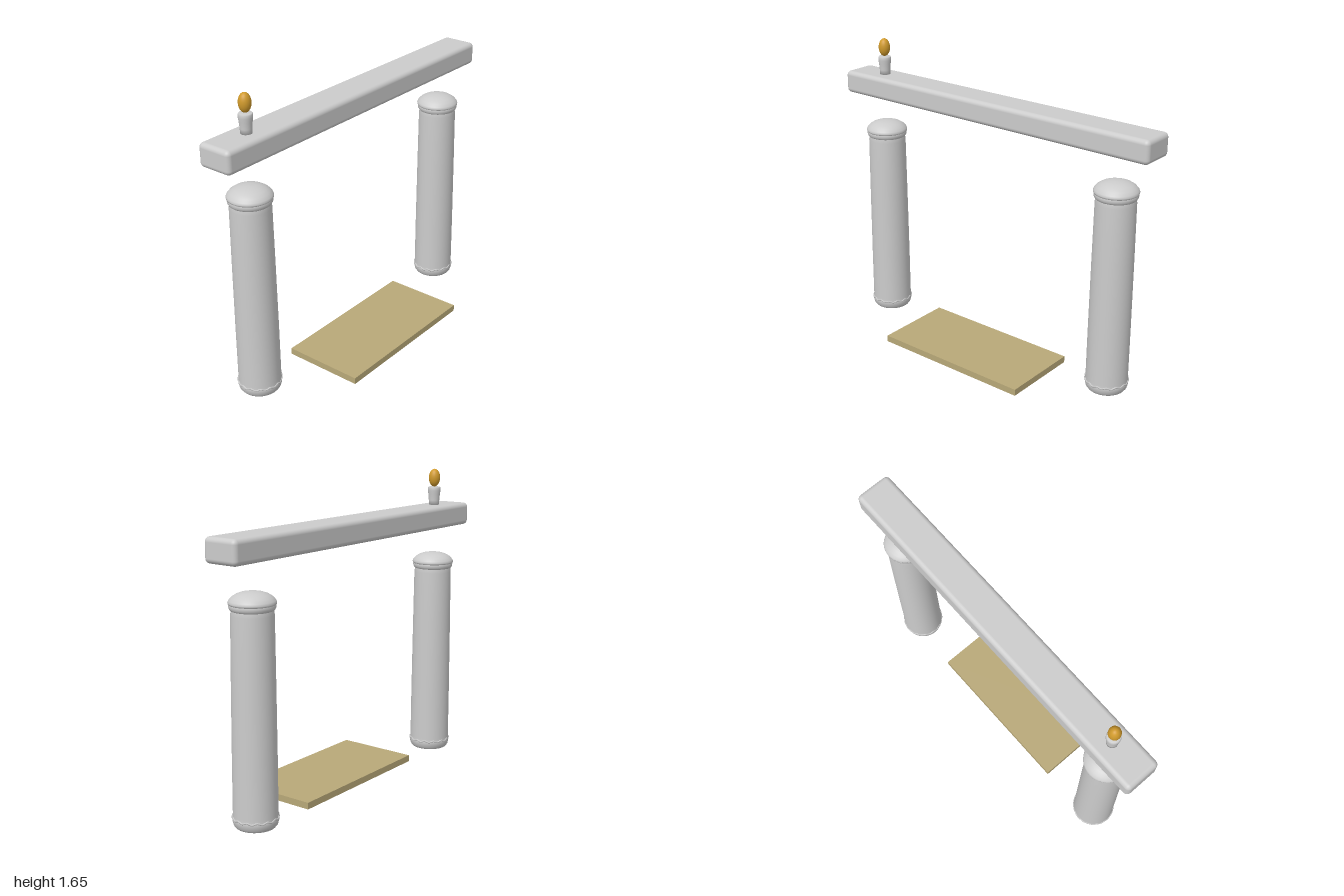
import * as THREE from 'three';
import { RoundedBoxGeometry } from 'three/addons/geometries/RoundedBoxGeometry.js';

const Z = -0.132; // depth line shared by columns, beam and candle
const COLUMN_X = 0.78;

const stone = new THREE.MeshStandardMaterial({ color: 0xcccccc });
const straw = new THREE.MeshStandardMaterial({ color: 0xb8a878 });
const gold = new THREE.MeshStandardMaterial({ color: 0xd09a2c });

function addMesh(parent, name, geometry, material, x = 0, y = 0, z = 0) {
  const mesh = new THREE.Mesh(geometry, material);
  mesh.name = name;
  mesh.position.set(x, y, z);
  parent.add(mesh);
  return mesh;
}

function lathe(points, segments = 40) {
  return new THREE.LatheGeometry(points.map(([r, y]) => new THREE.Vector2(r, y)), segments);
}

// Closed wavy cord that wraps a column foot
function wavyRing(radius, y, waves, amplitude) {
  const points = [];
  const count = waves * 4;
  for (let i = 0; i < count; i++) {
    const a = (i / count) * Math.PI * 2;
    points.push(new THREE.Vector3(
      Math.cos(a) * radius, y + Math.sin(a * waves) * amplitude, Math.sin(a) * radius));
  }
  return new THREE.TubeGeometry(new THREE.CatmullRomCurve3(points, true), count * 2, 0.005, 6, true);
}

function createColumn(name, x) {
  const column = new THREE.Group();
  column.name = name;
  column.position.set(x, 0, Z);

  // Rounded foot and tapering shaft
  addMesh(column, 'shaft', lathe([
    [0, 0], [0.085, 0.001], [0.1, 0.005], [0.11, 0.018], [0.115, 0.038],
    [0.115, 0.05], [0.112, 0.07], [0.111, 0.35], [0.108, 0.75], [0.105, 1.06], [0.101, 1.085],
  ]), stone);
  addMesh(column, 'footCord', wavyRing(0.113, 0.054, 14, 0.004), stone);

  // Flared collar under a shallow dome
  addMesh(column, 'collar', lathe([
    [0.097, 1.08], [0.106, 1.083], [0.112, 1.093], [0.113, 1.104], [0.111, 1.112],
  ]), stone);
  addMesh(column, 'domeCap', lathe([
    [0.109, 1.108], [0.115, 1.112], [0.1165, 1.119], [0.113, 1.129], [0.1, 1.144],
    [0.08, 1.157], [0.055, 1.166], [0.028, 1.171], [0, 1.172],
  ]), stone);
  return column;
}

function createCandle() {
  const candle = new THREE.Group();
  candle.name = 'candle';
  candle.position.set(-COLUMN_X, 1.44, Z);

  // Wax body with a slightly wider lip
  addMesh(candle, 'wax', lathe([
    [0, 0], [0.029, 0], [0.03, 0.03], [0.033, 0.065], [0.036, 0.085],
    [0.036, 0.1], [0.032, 0.106], [0, 0.107],
  ], 24), stone);

  // Egg-shaped flame
  const flame = addMesh(candle, 'flame', new THREE.SphereGeometry(1, 24, 16), gold, 0, 0.157, 0);
  flame.scale.set(0.032, 0.05, 0.032);
  return candle;
}

export function createModel() {
  const model = new THREE.Group();
  model.name = 'gateway';

  model.add(createColumn('rightColumn', -COLUMN_X), createColumn('leftColumn', COLUMN_X));

  // Beam floating over the columns
  addMesh(model, 'beam', new RoundedBoxGeometry(2, 0.125, 0.197, 4, 0.025), stone, 0, 1.382, Z - 0.002);
  model.add(createCandle());

  // Flat mat on the ground between the columns
  addMesh(model, 'mat', new THREE.BoxGeometry(0.92, 0.036, 0.45), straw, 0, 0.018, 0.024);

  return model;
}
